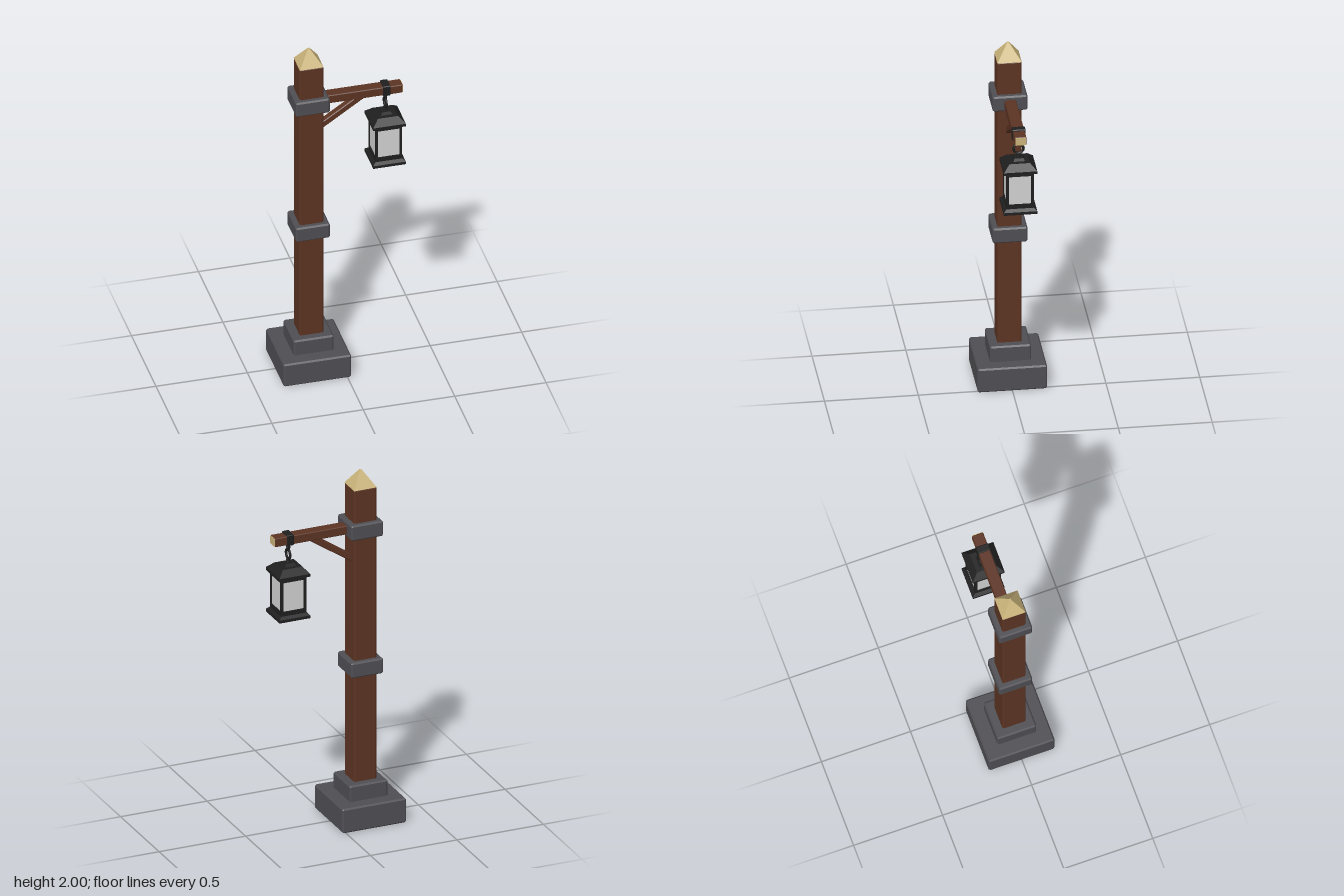
import * as THREE from 'three';
import { ConvexGeometry } from 'three/addons/geometries/ConvexGeometry.js';

const mat = (name, color) => {
  const m = new THREE.MeshStandardMaterial({ color });
  m.name = name;
  return m;
};

export function createModel() {
  const wood = mat('brown wood', 0x5c3423);
  const cutWood = mat('pale cut wood', 0xcab47a);
  const stone = mat('grey stone', 0x4f4e53);
  const iron = mat('black iron', 0x1f1f1f);
  const glass = mat('pale glass', 0xd2d2d2);

  const model = new THREE.Group();
  model.name = 'lanternPost';
  const add = (parent, name, geometry, material, x = 0, y = 0, z = 0) => {
    const mesh = new THREE.Mesh(geometry, material);
    mesh.name = name;
    mesh.position.set(x, y, z);
    parent.add(mesh);
    return mesh;
  };

  // Box with every edge chamfered by b
  const chamferBox = (w, h, d, b) => {
    const points = [];
    for (const sx of [-1, 1]) for (const sy of [-1, 1]) for (const sz of [-1, 1]) {
      for (let axis = 0; axis < 3; axis++) {
        const p = [w / 2 - b, h / 2 - b, d / 2 - b];
        p[axis] += b;
        points.push(new THREE.Vector3(sx * p[0], sy * p[1], sz * p[2]));
      }
    }
    return new ConvexGeometry(points);
  };

  // Square frustum standing on its base, given by half widths
  const frustum = (bottom, top, h) => {
    const g = new THREE.CylinderGeometry(top * Math.SQRT2, bottom * Math.SQRT2, h, 4)
      .rotateY(Math.PI / 4).translate(0, h / 2, 0).toNonIndexed();
    g.computeVertexNormals();
    return g;
  };

  // Stone foot, post and pointed tip
  const px = -0.165;
  add(model, 'footLower', chamferBox(0.37, 0.14, 0.37, 0.008), stone, px, 0.07);
  add(model, 'footUpper', chamferBox(0.22, 0.1, 0.22, 0.008), stone, px, 0.18);
  add(model, 'post', chamferBox(0.13, 1.72, 0.13, 0.006), wood, px, 1.052);
  add(model, 'postTip', frustum(0.065, 0.005, 0.09), cutWood, px, 1.91);
  for (const y of [0.885, 1.678]) {
    add(model, 'postBand', chamferBox(0.186, 0.088, 0.186, 0.008), stone, px, y);
  }

  // Arm with cut end, and its diagonal brace
  add(model, 'arm', chamferBox(0.48, 0.05, 0.062, 0.004), wood, 0.103, 1.676);
  add(model, 'armEnd', new THREE.BoxGeometry(0.006, 0.044, 0.056), cutWood, 0.342, 1.676);
  const from = new THREE.Vector2(-0.125, 1.492);
  const to = new THREE.Vector2(0.135, 1.666);
  const along = to.clone().sub(from);
  const brace = add(model, 'brace', chamferBox(along.length(), 0.034, 0.04, 0.004), wood,
    (from.x + to.x) / 2, (from.y + to.y) / 2);
  brace.rotation.z = along.angle();

  // Hanger strap and chain links
  const lx = 0.254;
  add(model, 'hangerStrap', chamferBox(0.04, 0.062, 0.072, 0.004), iron, lx, 1.678);
  add(model, 'hangerEye', new THREE.TorusGeometry(0.015, 0.006, 6, 12).rotateY(Math.PI / 2),
    iron, lx, 1.632);
  add(model, 'hangerRing', new THREE.TorusGeometry(0.027, 0.007, 6, 16).rotateY(Math.PI / 2),
    iron, lx, 1.587);

  // Lantern, measured from its underside
  const lantern = new THREE.Group();
  lantern.name = 'lantern';
  lantern.position.set(lx, 1.235, 0);
  model.add(lantern);
  add(lantern, 'basePlate', new THREE.BoxGeometry(0.178, 0.016, 0.178), iron, 0, 0.008);
  add(lantern, 'baseSlope', frustum(0.089, 0.074, 0.014), iron, 0, 0.016);
  add(lantern, 'lowerRail', new THREE.BoxGeometry(0.146, 0.03, 0.146), iron, 0, 0.04);
  add(lantern, 'upperRail', new THREE.BoxGeometry(0.146, 0.02, 0.146), iron, 0, 0.231);
  add(lantern, 'glass', new THREE.BoxGeometry(0.136, 0.174, 0.136), glass, 0, 0.137);
  for (const x of [-1, 1]) for (const z of [-1, 1]) {
    add(lantern, 'cornerBar', new THREE.BoxGeometry(0.014, 0.2, 0.014), iron,
      x * 0.066, 0.14, z * 0.066);
  }
  add(lantern, 'roofEave', new THREE.BoxGeometry(0.178, 0.016, 0.178), iron, 0, 0.248);
  add(lantern, 'roof', frustum(0.089, 0.055, 0.034), iron, 0, 0.256);
  add(lantern, 'roofKnob', frustum(0.032, 0.024, 0.016), iron, 0, 0.289);
  add(lantern, 'roofStud', new THREE.CylinderGeometry(0.01, 0.014, 0.022, 8), iron, 0, 0.314);

  return model;
}
